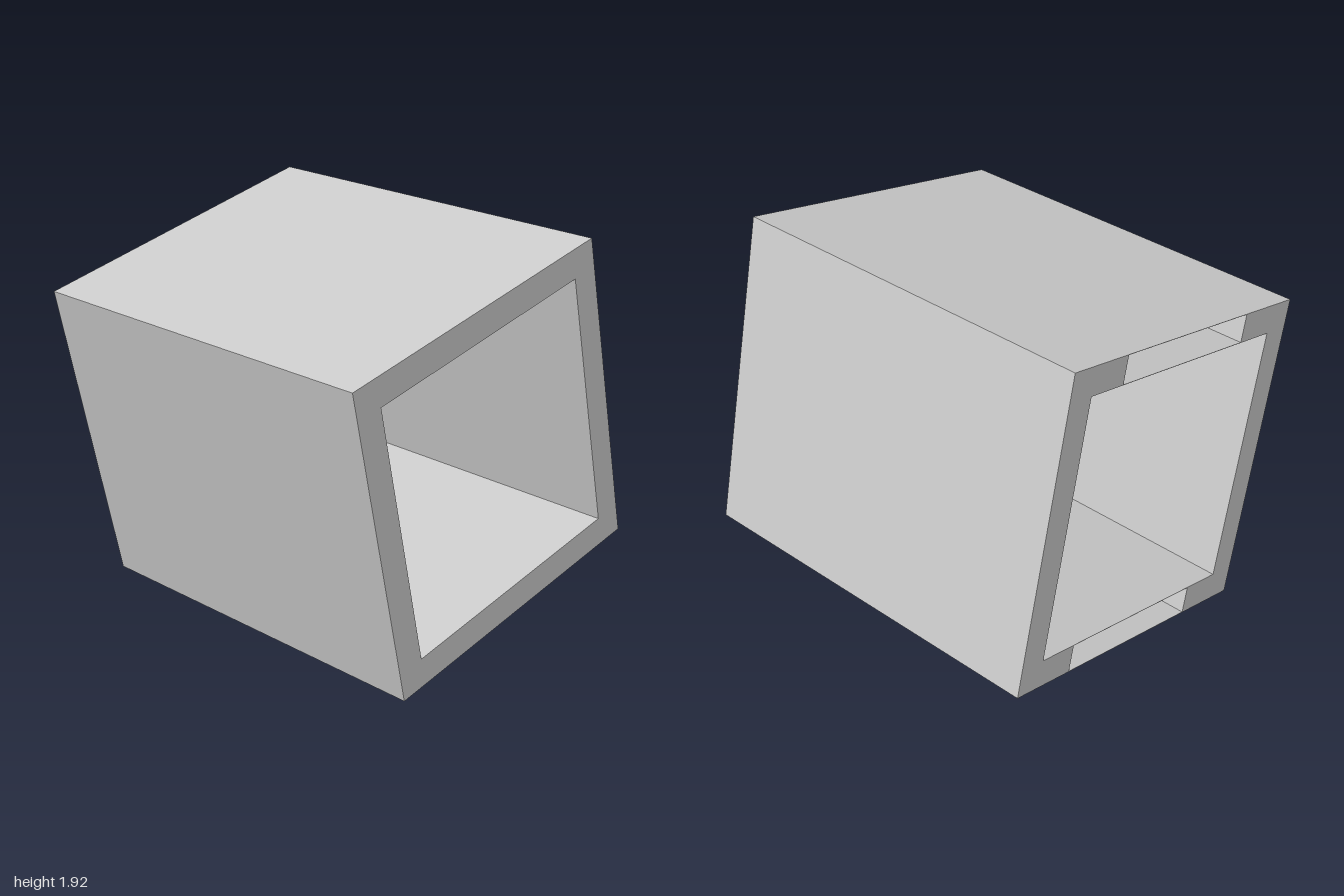
import * as THREE from 'three';

const SIDE = 1.615;          // outer width of the square tube
const WALL = 0.145;          // wall thickness
const SLOT = SIDE * 0.55;    // width of the rear slots
const SLOT_DEPTH = 1;        // how far the slots reach in from the back
const LIP = 0.002;           // thin skin left above and below each slot
const TILT = THREE.MathUtils.degToRad(12.2);

// Rectangle centred on (0, cy)
function rectangle(Type, w, h, cy = 0) {
  const x = w / 2, y = h / 2;
  return new Type([[-x, -y], [x, -y], [x, y], [-x, y]]
    .map(([px, py]) => new THREE.Vector2(px, cy + py)));
}

// Square ring, optionally with a slot in the top and bottom walls
function ring(slotted) {
  const shape = rectangle(THREE.Shape, SIDE, SIDE);
  const inner = SIDE - 2 * WALL;
  shape.holes.push(rectangle(THREE.Path, inner, inner));
  if (slotted) {
    for (const s of [-1, 1]) {
      shape.holes.push(rectangle(THREE.Path, SLOT, WALL - 2 * LIP, s * (SIDE - WALL) / 2));
    }
  }
  return shape;
}

export function createModel() {
  const model = new THREE.Group();
  model.name = 'tiltedSquareTube';
  const material = new THREE.MeshStandardMaterial({ color: 0xcccccc, flatShading: true });

  const addPart = (name, shape, z, depth) => {
    const geometry = new THREE.ExtrudeGeometry(shape, { depth, bevelEnabled: false });
    const mesh = new THREE.Mesh(geometry, material);
    mesh.name = name;
    mesh.position.z = z;
    tube.add(mesh);
  };

  const tube = new THREE.Group();
  tube.name = 'tube';
  // Solid-walled front and slotted back
  addPart('frontFrame', ring(false), -1 + SLOT_DEPTH, 2 - SLOT_DEPTH);
  addPart('slottedRearFrame', ring(true), -1, SLOT_DEPTH);

  // Roll the tube so it stands on its lower right edge
  tube.rotation.z = TILT;
  tube.position.y = SIDE / 2 * (Math.cos(TILT) + Math.sin(TILT));
  model.add(tube);
  return model;
}
